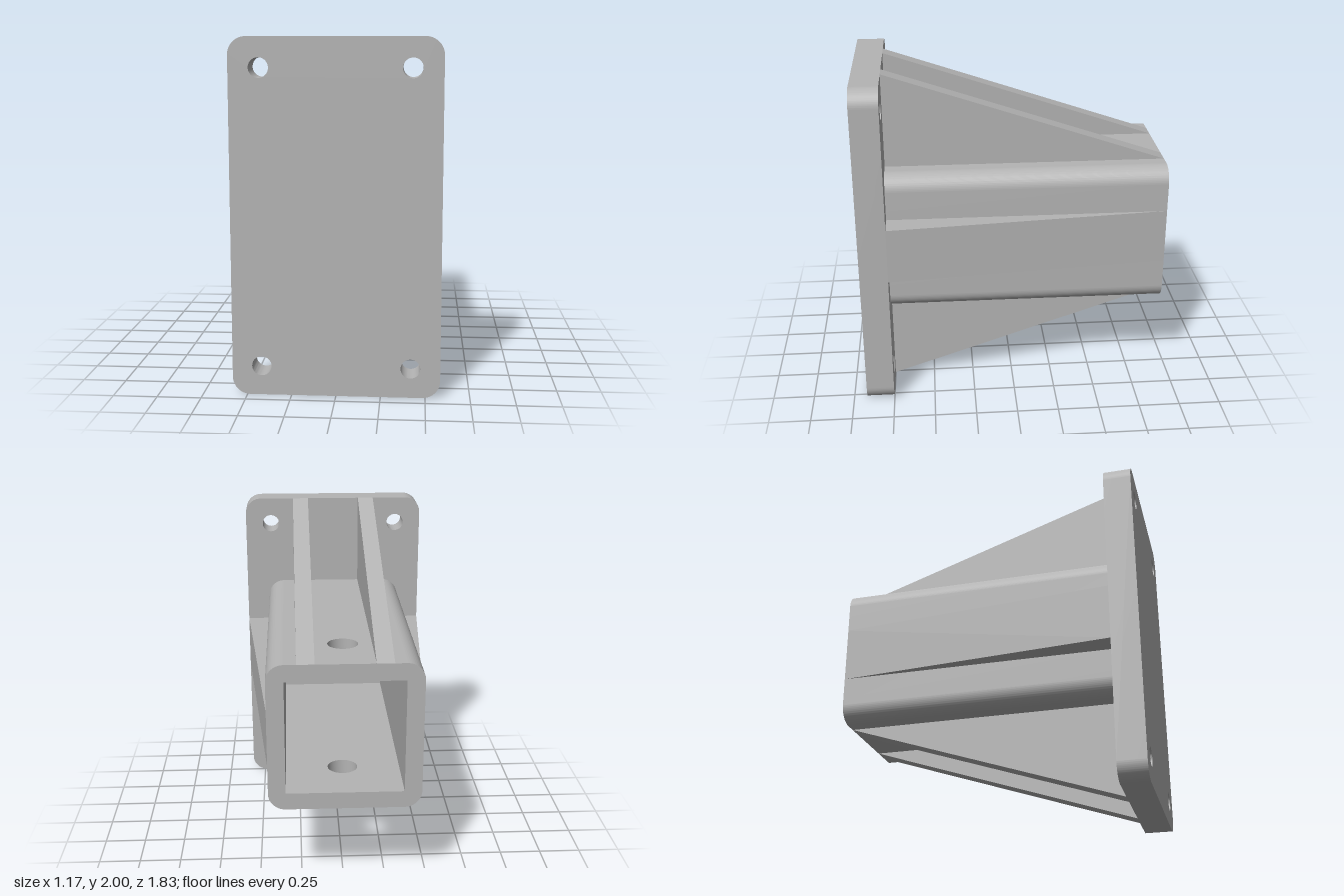
import * as THREE from 'three';
import { toCreasedNormals } from 'three/addons/utils/BufferGeometryUtils.js';

const FRONT = 0.917, SEAT = 0.75, BACK = -0.917; // z of plate front, plate rear, tube end
const OUT = 0.436, IN = 0.336, MID = 1;          // tube half sizes, centre height
const LENGTH = SEAT - BACK;

const polygon = (pts) => new THREE.Shape(pts.map(([x, y]) => new THREE.Vector2(x, y)));

function addHole(shape, x, y, r) {
  const hole = new THREE.Path();
  hole.absarc(x, y, r, 0, Math.PI * 2, true);
  shape.holes.push(hole);
}

const extrude = (shape, depth) =>
  new THREE.ExtrudeGeometry(shape, { depth, bevelEnabled: false, curveSegments: 24 });

export function createModel() {
  const model = new THREE.Group();
  model.name = 'tubeBracket';
  const steel = new THREE.MeshStandardMaterial({ color: 0xb4b4b4 });
  steel.name = 'grey steel';

  const add = (name, geometry) => {
    const mesh = new THREE.Mesh(toCreasedNormals(geometry, 0.6), steel);
    mesh.name = name;
    model.add(mesh);
  };

  // Mounting plate with rounded corners and four bolt holes
  const w = 0.583, r = 0.1;
  const plate = new THREE.Shape();
  plate.absarc(w - r, 2 - r, r, 0, Math.PI / 2);
  plate.absarc(-w + r, 2 - r, r, Math.PI / 2, Math.PI);
  plate.absarc(-w + r, r, r, Math.PI, Math.PI * 1.5);
  plate.absarc(w - r, r, r, Math.PI * 1.5, Math.PI * 2);
  plate.closePath();
  for (const x of [-0.417, 0.417])
    for (const y of [0.167, 1.833]) addHole(plate, x, y, 0.055);
  add('mountingPlate', extrude(plate, FRONT - SEAT).translate(0, 0, SEAT));

  for (const s of [1, -1]) {
    const side = s > 0 ? 'left' : 'right';
    const level = s > 0 ? 'top' : 'bottom';

    // Tube side wall, carrying the rounded outer corners
    const wall = new THREE.Shape();
    wall.moveTo(IN, -OUT);
    wall.absarc(IN, -IN, OUT - IN, -Math.PI / 2, 0);
    wall.absarc(IN, IN, OUT - IN, 0, Math.PI / 2);
    wall.closePath();
    const wallGeometry = extrude(wall, LENGTH).translate(0, 0, -LENGTH / 2);
    if (s < 0) wallGeometry.rotateY(Math.PI);
    add(side + 'TubeWall', wallGeometry.translate(0, MID, (SEAT + BACK) / 2));

    // Tube top or bottom wall with the pin hole
    const slab = polygon([[-IN, BACK], [IN, BACK], [IN, SEAT], [-IN, SEAT]]);
    addHole(slab, 0, -0.585, 0.088);
    const slabY = s > 0 ? MID + OUT : MID - IN;
    add(level + 'TubeWall', extrude(slab, OUT - IN).rotateX(Math.PI / 2).translate(0, slabY, 0));

    // Broad side gusset
    const gusset = polygon([[s * OUT, BACK], [s * OUT, SEAT], [s * w, SEAT]]);
    add(side + 'Gusset', extrude(gusset, 0.334).rotateX(Math.PI / 2).translate(0, MID + 0.167, 0));

    // Pair of sloping ribs above or below the tube
    for (const x of [-0.217, 0.217]) {
      const rib = polygon([[BACK, MID + s * OUT], [SEAT, MID + s * OUT], [SEAT, MID + s]]);
      add(level + (x > 0 ? 'Left' : 'Right') + 'Rib',
        extrude(rib, 0.1).rotateY(-Math.PI / 2).translate(x + 0.05, 0, 0));
    }
  }
  return model;
}
